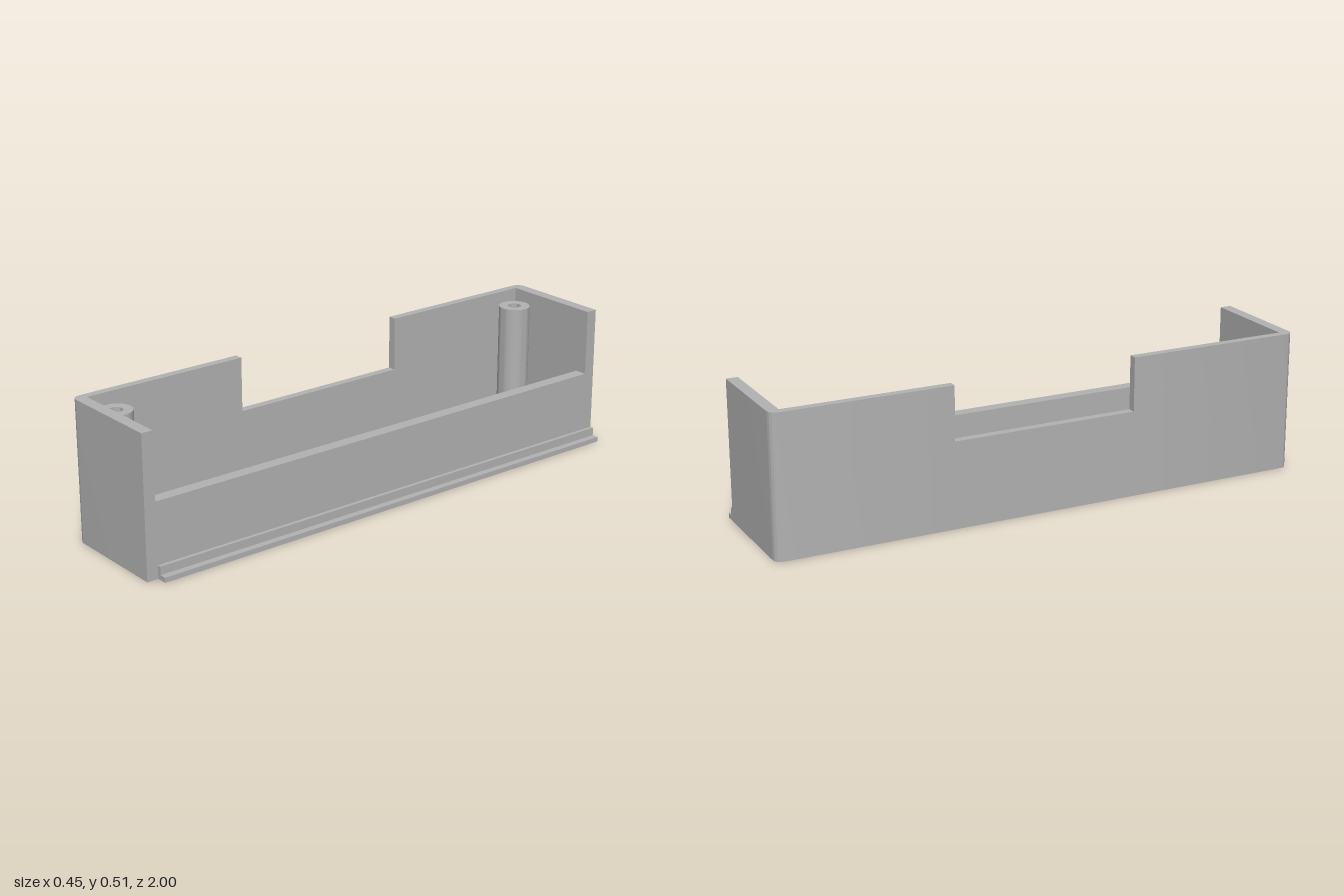
import * as THREE from 'three';
import { toCreasedNormals } from 'three/addons/utils/BufferGeometryUtils.js';

const X0 = -0.228, X1 = 0.188;      // outer faces of the back and front long walls
const INNER0 = -0.198, INNER1 = 0.142;
const ZI = 0.958;                   // inner face of the end walls
const H = 0.512, FLOOR = 0.04, LOW = 0.27, SILL = 0.315, R = 0.03;

export function createModel() {
  const model = new THREE.Group();
  const grey = new THREE.MeshStandardMaterial({ color: 0xb2b2b2 });
  grey.name = 'plain grey';

  const add = (name, geometry) => {
    const mesh = new THREE.Mesh(geometry, grey);
    mesh.name = name;
    model.add(mesh);
    return mesh;
  };
  // Box given by its minimum and maximum corners
  const box = (name, x0, x1, y0, y1, z0, z1) =>
    add(name, new THREE.BoxGeometry(x1 - x0, y1 - y0, z1 - z0)
      .translate((x0 + x1) / 2, (y0 + y1) / 2, (z0 + z1) / 2));

  // End walls, each wrapping a rounded corner into the tall part of the long wall
  const corner = (name, s, notchZ) => {
    const shape = new THREE.Shape();
    shape.moveTo(X1, -s);
    shape.lineTo(X0 + R, -s);
    shape.absarc(X0 + R, -s * (1 - R), R, -s * Math.PI / 2, Math.PI * -s, s > 0);
    shape.lineTo(X0, -notchZ);
    shape.lineTo(INNER0, -notchZ);
    shape.lineTo(INNER0, -s * ZI);
    shape.lineTo(X1, -s * ZI);
    shape.closePath();
    const geo = new THREE.ExtrudeGeometry(shape, { depth: H, bevelEnabled: false, curveSegments: 10 });
    add(name, toCreasedNormals(geo.rotateX(-Math.PI / 2), 0.5));
  };
  corner('frontCornerWall', 1, 0.338);
  corner('backCornerWall', -1, -0.352);

  // Lowered long wall, opposite low wall and floor
  box('notchedWall', X0, INNER0, 0, SILL, -0.352, 0.338);
  box('lowWall', INNER1, X1, 0, LOW, -ZI, ZI);
  box('floor', INNER0, INNER1, 0, FLOOR, -ZI, ZI);

  // Stepped rail along the foot of the low wall
  const step = new THREE.Shape([
    [X1, 0], [0.227, 0], [0.227, 0.018], [0.202, 0.018], [0.202, 0.048], [X1, 0.048],
  ].map(([x, y]) => new THREE.Vector2(x, y)));
  add('steppedRail', new THREE.ExtrudeGeometry(step, { depth: 1 + ZI, bevelEnabled: false })
    .translate(0, 0, -1));

  // Hollow screw posts
  const profile = [[0.058, FLOOR], [0.058, 0.47], [0.024, 0.47], [0.024, FLOOR]]
    .map(([r, y]) => new THREE.Vector2(r, y));
  const post = toCreasedNormals(new THREE.LatheGeometry(profile, 40), 0.5);
  for (const [name, z] of [['frontPost', 0.889], ['backPost', -0.893]]) {
    add(name, post).position.set(-0.135, 0, z);
  }
  return model;
}
